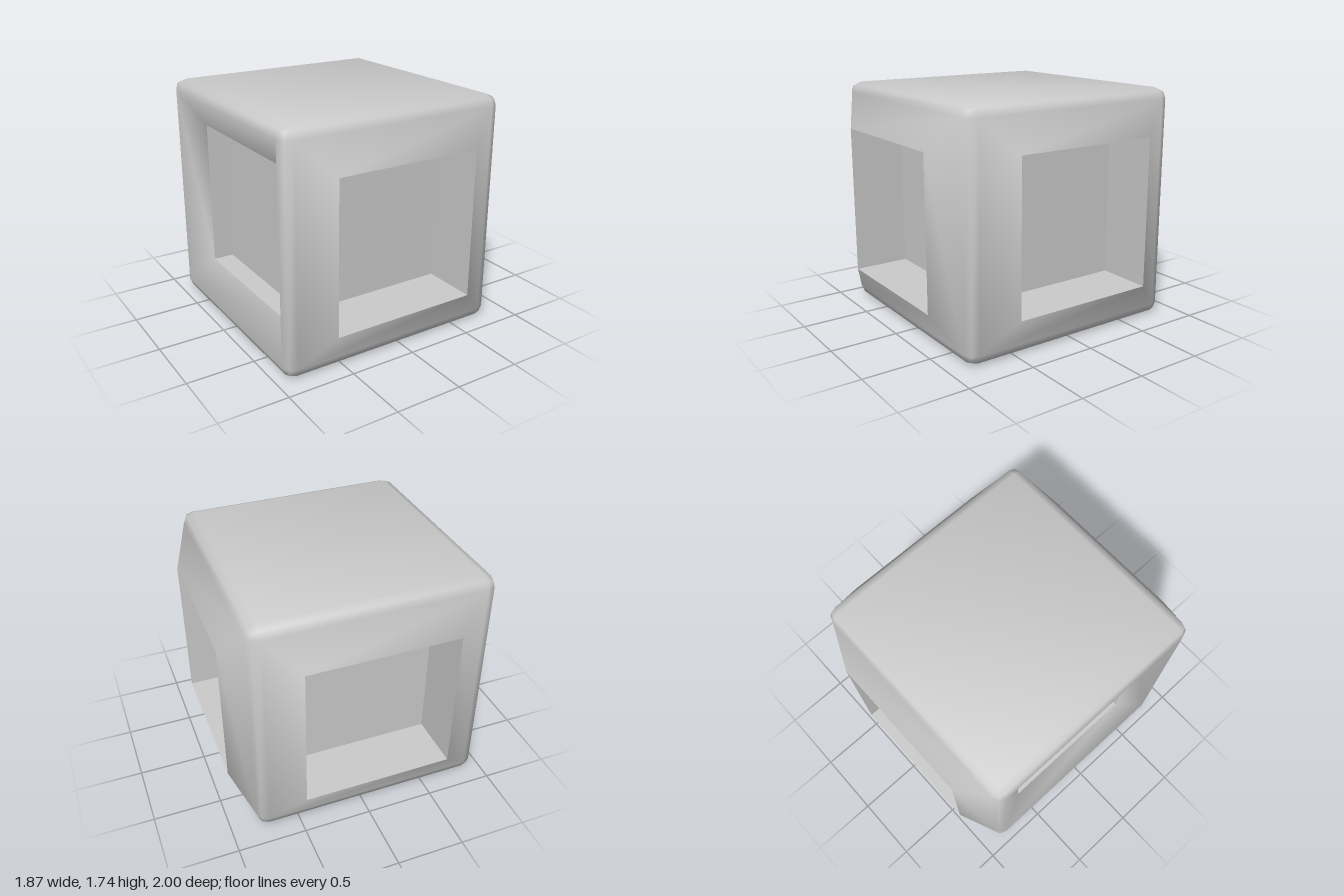
import * as THREE from 'three';
import { mergeGeometries, toCreasedNormals } from 'three/addons/utils/BufferGeometryUtils.js';

const HALF = 0.87;     // half size of the rounded cube
const FLAT = 0.79;     // half size of each flat face inside the bevel
const OPEN = 0.553;    // half size of each square opening
const FLOOR = 0.585;   // distance of the recess floors from the cube centre
const LIP = 0.13;      // how far a rim rises (or sinks) from the cube face

// The four sides: turn about y, and rim distance from the centre
const SIDES = [
  { name: 'front', turn: 0, rim: HALF + LIP },
  { name: 'left', turn: Math.PI / 2, rim: HALF + LIP },
  { name: 'back', turn: Math.PI, rim: HALF + LIP },
  { name: 'right', turn: -Math.PI / 2, rim: HALF - LIP },
];

// Square rings [half size, z] joined by quads, optionally closed by a cap
function squareLoft(rings, cap) {
  const corners = [[-1, -1], [1, -1], [1, 1], [-1, 1]];
  const pos = [];
  const index = [];
  for (const [h, z] of rings) for (const [x, y] of corners) pos.push(x * h, y * h, z);
  for (let r = 0; r < rings.length - 1; r++) {
    for (let i = 0; i < 4; i++) {
      const a = r * 4 + i, b = r * 4 + (i + 1) % 4;
      index.push(a, b, b + 4, a, b + 4, a + 4);
    }
  }
  if (cap) {
    const n = (rings.length - 1) * 4;
    index.push(n, n + 1, n + 2, n, n + 2, n + 3);
  }
  const geo = new THREE.BufferGeometry();
  geo.setAttribute('position', new THREE.Float32BufferAttribute(pos, 3));
  geo.setIndex(index);
  return geo.toNonIndexed();
}

// Cube with two-step rounded edges and no centre cell on its four sides
function roundedCube() {
  const box = new THREE.BoxGeometry(2, 2, 2, 3, 3, 3);
  const pos = box.attributes.position;
  const p = new THREE.Vector3(), core = new THREE.Vector3();
  for (let i = 0; i < pos.count; i++) {
    p.fromBufferAttribute(pos, i);
    for (const k of ['x', 'y', 'z']) {
      core[k] = Math.sign(p[k]) * FLAT;
      p[k] = Math.abs(p[k]) > 0.9 ? Math.sign(p[k]) : 0;
    }
    p.normalize().multiplyScalar(HALF - FLAT).add(core);
    pos.setXYZ(i, p.x, p.y, p.z);
  }
  // Faces run +x -x +y -y +z -z, nine cells of six indices each
  const kept = Array.from(box.index.array).filter((_, i) => {
    const face = Math.floor(i / 54), cell = Math.floor((i % 54) / 6);
    return cell !== 4 || face === 2 || face === 3;
  });
  box.setIndex(kept);
  box.deleteAttribute('uv');
  box.deleteAttribute('normal');
  return box.toNonIndexed();
}

export function createModel() {
  const group = new THREE.Group();
  group.name = 'recessedCube';
  const material = new THREE.MeshStandardMaterial({ color: 0xcccccc });

  // Outer shell: rounded cube plus the sloping frame on each side
  const frames = SIDES.map(({ turn, rim }) =>
    squareLoft([[FLAT, HALF], [OPEN, rim]], false).rotateY(turn));
  const shell = toCreasedNormals(mergeGeometries([roundedCube(), ...frames]), 0.97);
  const shellMesh = new THREE.Mesh(shell, material);
  shellMesh.name = 'shell';
  group.add(shellMesh);

  // Square recess with straight walls and a flat floor on each side
  for (const { name, turn, rim } of SIDES) {
    const geo = squareLoft([[OPEN, rim], [OPEN, FLOOR]], true);
    geo.computeVertexNormals();
    const recess = new THREE.Mesh(geo, material);
    recess.name = name + 'Recess';
    recess.rotation.y = turn;
    group.add(recess);
  }

  // Offset so the whole model, with its one-sided rim, is centred
  for (const part of group.children) part.position.set(-LIP / 2, HALF, 0);
  return group;
}
